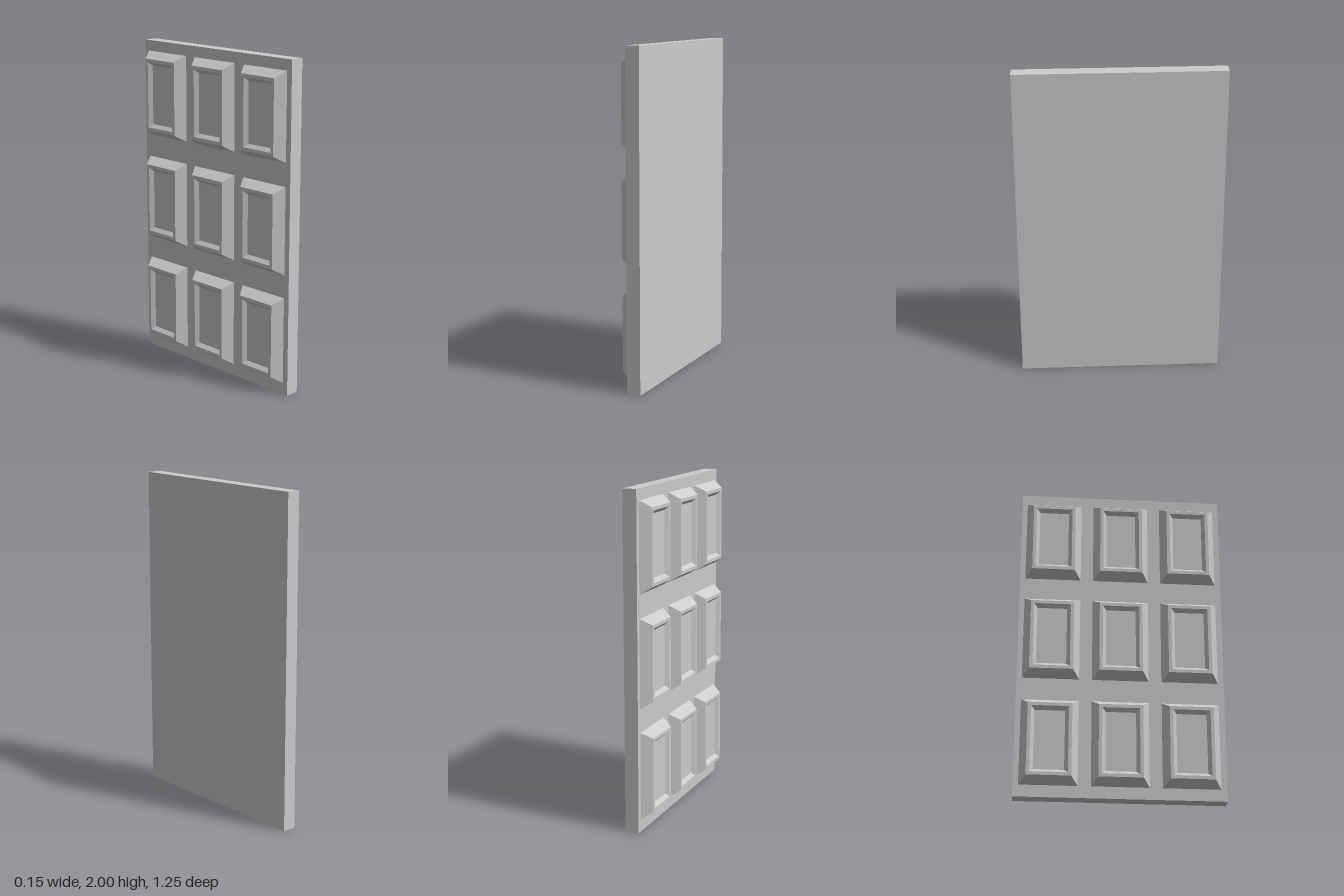
import * as THREE from 'three';

const material = new THREE.MeshStandardMaterial({ color: 0xcccccc, flatShading: true });

// Raised panel facing -x: rectangular rings [x, half height, half width], outside to inside
const rings = [
  [-0.01, 0.264, 0.171], // foot of the outer bevel
  [-0.074, 0.224, 0.131], // outer edge of the rim
  [-0.074, 0.204, 0.111], // inner edge of the rim
  [-0.052, 0.183, 0.09], // recessed floor
];

function panelGeometry() {
  const corners = [[-1, -1], [-1, 1], [1, 1], [1, -1]];
  const loops = rings.map(([x, h, w]) => corners.map(([v, u]) => [x, v * h, u * w]));
  const positions = [];
  const quad = (a, b, c, d) => positions.push(...a, ...b, ...c, ...a, ...c, ...d);
  for (let i = 0; i < loops.length - 1; i++) {
    for (let j = 0; j < 4; j++) {
      const k = (j + 1) % 4;
      quad(loops[i][j], loops[i][k], loops[i + 1][k], loops[i + 1][j]);
    }
  }
  quad(...loops[loops.length - 1]);
  const geometry = new THREE.BufferGeometry();
  geometry.setAttribute('position', new THREE.Float32BufferAttribute(positions, 3));
  geometry.computeVertexNormals();
  return geometry;
}

export function createModel() {
  const door = new THREE.Group();
  door.name = 'panelledDoor';

  // Flat slab
  const slab = new THREE.Mesh(new THREE.BoxGeometry(0.084, 2, 1.246), material);
  slab.name = 'slab';
  slab.position.set(0.032, 1, 0);
  door.add(slab);

  // Three by three grid of raised panels
  const geometry = panelGeometry();
  for (let row = 0; row < 3; row++) {
    for (let col = 0; col < 3; col++) {
      const panel = new THREE.Mesh(geometry, material);
      panel.name = `raisedPanel${row * 3 + col + 1}`;
      panel.position.set(0, 0.336 + row * 0.667, -0.002 + (col - 1) * 0.418);
      door.add(panel);
    }
  }
  return door;
}
